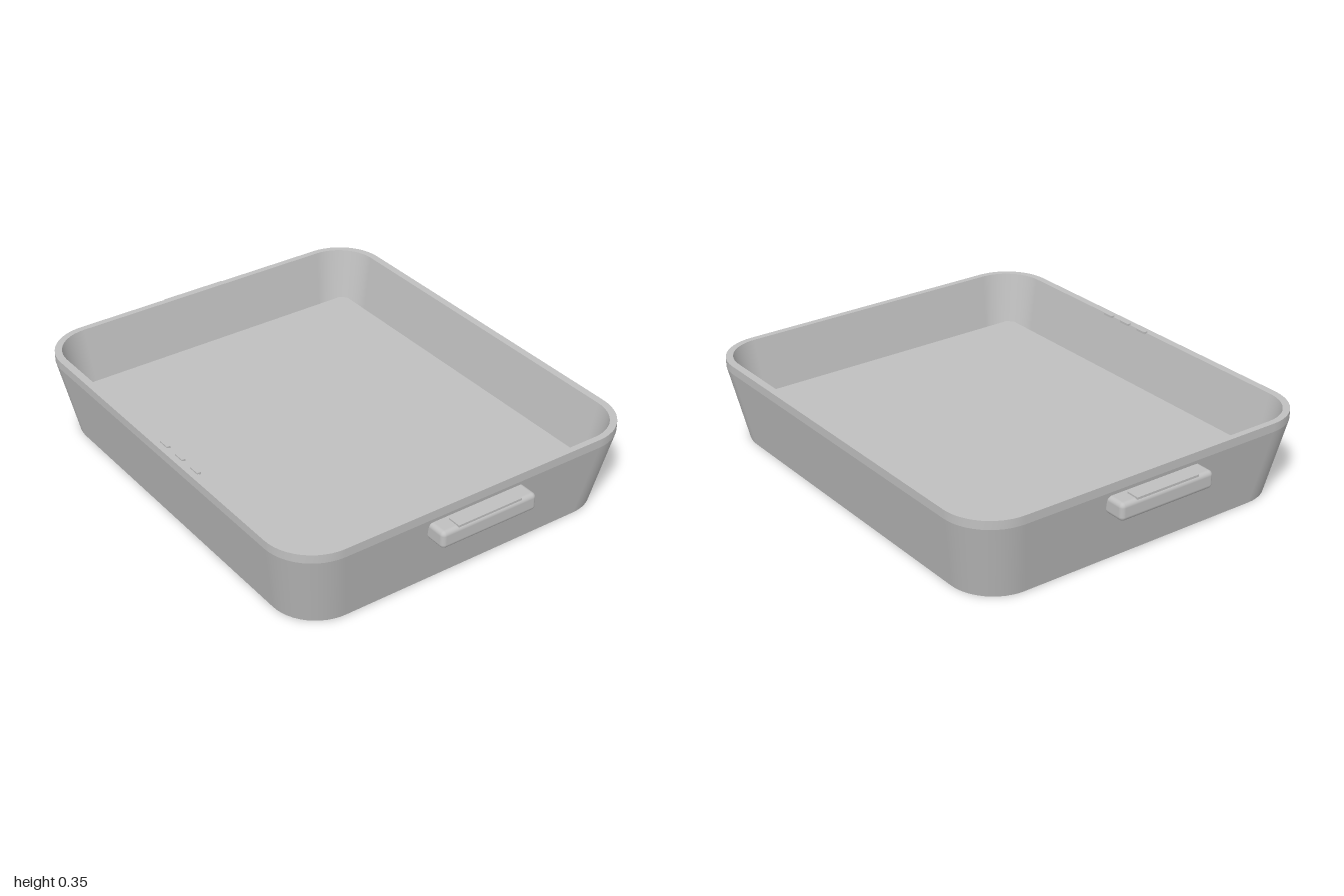
import * as THREE from 'three';
import { mergeGeometries } from 'three/addons/utils/BufferGeometryUtils.js';
import { RoundedBoxGeometry } from 'three/addons/geometries/RoundedBoxGeometry.js';

// Points of a rounded rectangle with half sizes hx, hz and corner radius r at height y
function ring([hx, hz, r, y], steps = 12) {
  const points = [];
  const corners = [[1, 1], [-1, 1], [-1, -1], [1, -1]];
  corners.forEach(([sx, sz], q) => {
    for (let i = 0; i <= steps; i++) {
      const a = (q + i / steps) * Math.PI / 2;
      points.push(sx * (hx - r) + r * Math.cos(a), y, sz * (hz - r) + r * Math.sin(a));
    }
  });
  return points;
}

// One band between two rings, smooth around and sharp at its borders
function band(from, to) {
  const lower = ring(from), upper = ring(to);
  const n = lower.length / 3, index = [];
  for (let i = 0; i < n; i++) {
    const j = (i + 1) % n;
    index.push(i, n + i, j, j, n + i, n + j);
  }
  const g = new THREE.BufferGeometry();
  g.setAttribute('position', new THREE.Float32BufferAttribute([...lower, ...upper], 3));
  g.setIndex(index);
  g.computeVertexNormals();
  return g;
}

export function createModel() {
  const model = new THREE.Group();
  model.name = 'tray';
  const grey = new THREE.MeshStandardMaterial({ color: 0xc0c0c0 });
  grey.name = 'grey';

  const add = (name, geometry, x, y, z, parent = model) => {
    const mesh = new THREE.Mesh(geometry, grey);
    mesh.name = name;
    mesh.position.set(x, y, z);
    parent.add(mesh);
    return mesh;
  };

  // Shell: underside, tapered wall, upright lip, rim, inner wall, inner floor
  const profile = [
    [0, 0, 0, 0.004],
    [0.865, 0.72, 0.185, 0.004],
    [0.926, 0.781, 0.2, 0.315],
    [0.926, 0.781, 0.2, 0.35],
    [0.9, 0.75, 0.17, 0.35],
    [0.85, 0.7, 0.14, 0.08],
    [0, 0, 0, 0.08],
  ];
  const bands = profile.slice(1).map((p, i) => band(profile[i], p));
  add('shell', mergeGeometries(bands), 0, 0, 0);

  // Raised floor panel
  add('floorPanel', new THREE.BoxGeometry(1.66, 0.03, 1.36), 0, 0.125, 0);

  // Side handles, each with a thin grip pad on top
  for (const [side, name] of [[1, 'leftHandle'], [-1, 'rightHandle']]) {
    const handle = new THREE.Group();
    handle.name = name;
    model.add(handle);
    add('handleBar', new RoundedBoxGeometry(0.1, 0.072, 0.432, 4, 0.018), side * 0.95, 0.264, 0, handle);
    add('gripPad', new THREE.BoxGeometry(0.056, 0.009, 0.288), side * 0.97, 0.302, 0, handle);
  }

  // Three small marks on the front rim
  for (const x of [0.02, 0.125, 0.23]) {
    add('rimMark', new THREE.BoxGeometry(0.05, 0.009, 0.016), x, 0.351, 0.748);
  }
  return model;
}
